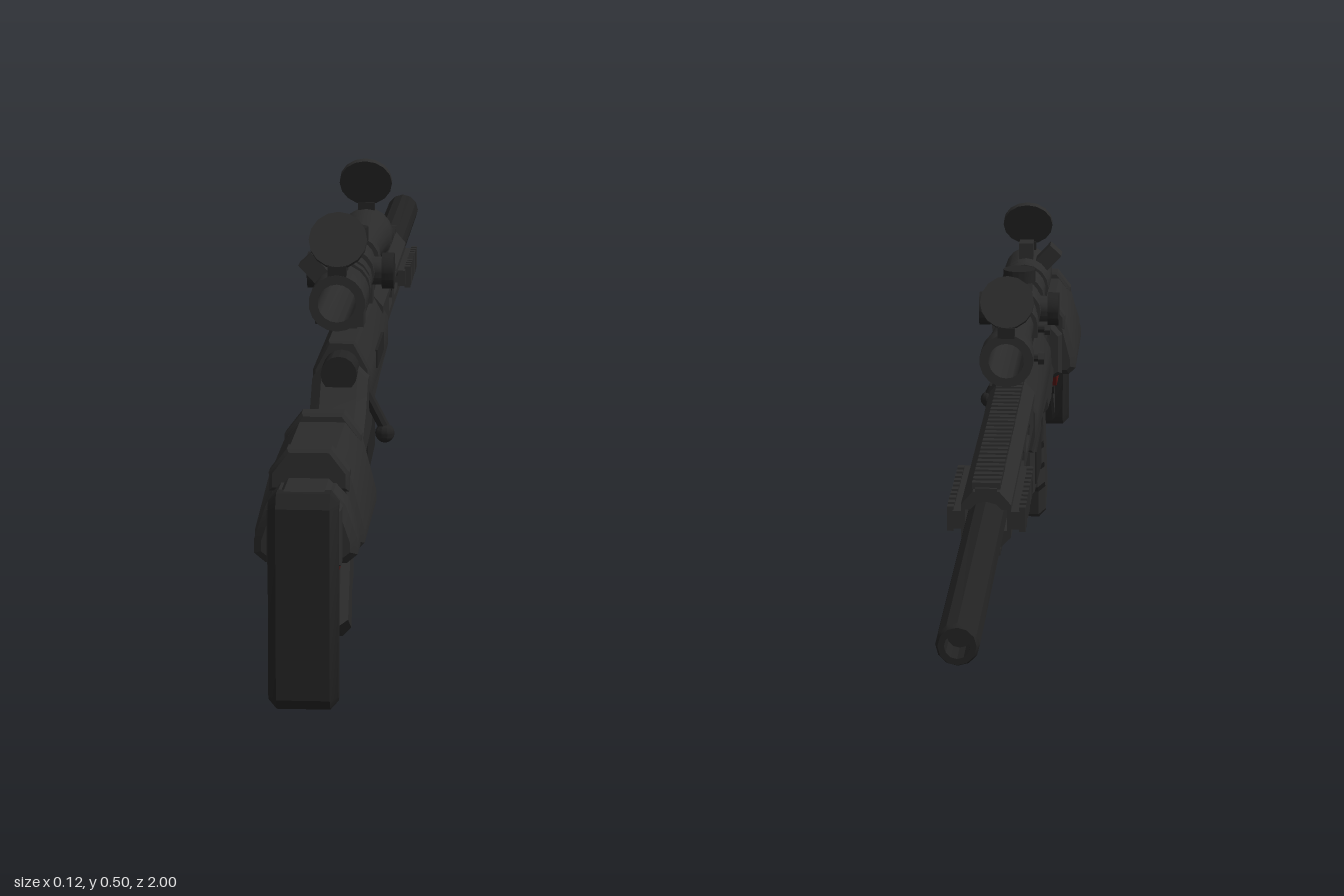
import * as THREE from 'three';
import { toCreasedNormals } from 'three/addons/utils/BufferGeometryUtils.js';

const material = (name, color) => Object.assign(new THREE.MeshStandardMaterial({ color }), { name });

export function createModel() {
  const body = material('charcoal', 0x2b2b2b);
  const dark = material('black', 0x222222);
  const red = material('dark red', 0x551512);
  const model = new THREE.Group();
  model.name = 'rifle';

  const add = (name, geometry, mat = body, crease = 0.5) => {
    const mesh = new THREE.Mesh(toCreasedNormals(geometry, crease), mat);
    mesh.name = name;
    model.add(mesh);
    return mesh;
  };
  const shapeOf = (pts) => new THREE.Shape(pts.map(([a, b]) => new THREE.Vector2(a, b)));
  const extrude = (pts, width, bevel, holes) => {
    const shape = shapeOf(pts);
    holes.forEach((h) => shape.holes.push(shapeOf(h)));
    const depth = width - 2 * bevel;
    return new THREE.ExtrudeGeometry(shape, {
      depth, bevelEnabled: bevel > 0, bevelThickness: bevel,
      bevelSize: bevel, bevelOffset: -bevel, bevelSegments: 1,
    }).translate(0, 0, -depth / 2);
  };
  // side profile of [z, y] points, extruded across x
  const profile = (name, pts, width, { bevel = 0, x = 0, mat = body, holes = [] } = {}) =>
    add(name, extrude(pts, width, bevel, holes).rotateY(-Math.PI / 2).translate(x, 0, 0), mat);
  // half section of [x, y] points, mirrored and extruded along z
  const prism = (name, half, z0, z1, bevel = 0) => {
    const mirrored = [...half].reverse().map(([x, y]) => [-x, y]);
    return add(name, extrude([...half, ...mirrored], z1 - z0, bevel, []).translate(0, 0, (z0 + z1) / 2));
  };
  // [radius, z] profile turned about a line along z at height y
  const turned = (name, pts, y, sides, mat = body) =>
    add(name, new THREE.LatheGeometry(pts.map(([r, z]) => new THREE.Vector2(r, z)), sides)
      .rotateX(Math.PI / 2).translate(0, y, 0), mat);
  const box = (name, w, h, d, x, y, z, mat = body) =>
    add(name, new THREE.BoxGeometry(w, h, d).translate(x, y, z), mat);
  const disc = (name, r, h, axis, x, y, z, mat = body, sides = 16) => {
    const g = new THREE.CylinderGeometry(r, r, h, sides);
    if (axis === 'x') g.rotateZ(Math.PI / 2);
    if (axis === 'z') g.rotateX(Math.PI / 2);
    return add(name, g.translate(x, y, z), mat);
  };

  // Barrel with a hollow muzzle
  turned('barrel', [[0, -0.96], [0.014, -0.96], [0.014, -1], [0.021, -1], [0.024, -0.992],
    [0.024, 0.05], [0, 0.05]], 0.294, 12, dark);

  // Handguard: top and bottom strips, slotted side panels
  prism('handguardTop', [[0.03, 0.308], [0.03, 0.314], [0.016, 0.33]], -0.51, 0.05);
  prism('handguardBottom', [[0.018, 0.262], [0.03, 0.274], [0.03, 0.282]], -0.51, 0.05);
  const slots = [-0.38, -0.25, -0.12].map((z) => [[z - 0.045, 0.29], [z - 0.038, 0.284],
    [z + 0.032, 0.284], [z + 0.038, 0.29], [z + 0.038, 0.3], [z + 0.032, 0.306],
    [z - 0.038, 0.306], [z - 0.045, 0.3]]);
  for (const x of [-0.0275, 0.0275])
    profile('handguardSide', [[-0.51, 0.28], [0.05, 0.28], [0.05, 0.31], [-0.51, 0.31]], 0.005, { x, holes: slots });

  // Toothed rails
  box('topRail', 0.026, 0.008, 0.82, 0, 0.33, -0.1);
  for (let z = -0.5; z < 0.31; z += 0.02) box('topRailTooth', 0.034, 0.008, 0.011, 0, 0.336, z);
  box('bottomRail', 0.026, 0.008, 0.21, 0, 0.26, -0.405);
  for (let z = -0.5; z < -0.3; z += 0.02) {
    box('bottomRailTooth', 0.034, 0.008, 0.011, 0, 0.254, z);
    for (const s of [-1, 1]) box('sideRailTooth', 0.008, 0.03, 0.011, s * 0.043, 0.295, z);
  }
  for (const s of [-1, 1]) box('sideRail', 0.012, 0.022, 0.21, s * 0.034, 0.295, -0.405);

  // Receiver and chassis
  prism('receiver', [[0.03, 0.24], [0.035, 0.26], [0.035, 0.295], [0.016, 0.33]], 0.015, 0.4, 0.003);
  profile('chassis', [[0.015, 0.245], [0.2, 0.235], [0.33, 0.225], [0.345, 0.205], [0.46, 0.195], [0.54, 0.22],
    [0.54, 0.24], [0.47, 0.265], [0.43, 0.3], [0.39, 0.3], [0.36, 0.27], [0.015, 0.27]], 0.068, { bevel: 0.012 });
  disc('boltShroud', 0.022, 0.06, 'z', 0, 0.298, 0.42, dark);
  profile('ejectionPort', [[0.15, 0.275], [0.28, 0.275], [0.28, 0.298], [0.15, 0.298]], 0.004, { x: 0.035, mat: dark });
  add('boltHandle', new THREE.TubeGeometry(new THREE.LineCurve3(
    new THREE.Vector3(0.02, 0.285, 0.395), new THREE.Vector3(0.052, 0.225, 0.4)), 1, 0.007, 8), dark);
  add('boltKnob', new THREE.SphereGeometry(0.012, 10, 8).translate(0.053, 0.217, 0.4), dark);

  // Magazine
  profile('magazine', [[0.335, 0.24], [0.15, 0.24], [0.15, 0.142], [0.325, 0.128], [0.328, 0.18], [0.345, 0.195]],
    0.05, { bevel: 0.006 });
  for (const s of [-1, 1]) profile('magazinePanel', [[0.31, 0.2], [0.17, 0.2], [0.17, 0.155], [0.31, 0.145]],
    0.004, { x: s * 0.025, mat: dark });

  // Trigger and guard
  const tube = (name, pts, r, mat) => add(name, new THREE.TubeGeometry(
    new THREE.CatmullRomCurve3(pts.map(([z, y]) => new THREE.Vector3(0, y, z))), 16, r, 6).scale(1.8, 1, 1), mat, 1);
  tube('triggerGuard', [[0.46, 0.15], [0.43, 0.143], [0.37, 0.14], [0.348, 0.16], [0.338, 0.21]], 0.005, body);
  tube('trigger', [[0.405, 0.21], [0.418, 0.185], [0.415, 0.17], [0.405, 0.16]], 0.004, dark);

  // Pistol grip with finger grooves
  profile('grip', [[0.43, 0.21], [0.437, 0.175], [0.458, 0.155], [0.463, 0.132], [0.483, 0.118], [0.483, 0.095],
    [0.505, 0.082], [0.505, 0.058], [0.528, 0.045], [0.537, 0.008], [0.553, 0.0], [0.622, 0.03], [0.612, 0.048],
    [0.565, 0.13], [0.535, 0.18], [0.54, 0.225]], 0.044, { bevel: 0.01 });

  // Stock with its tube, cheek rest and butt pad
  disc('stockTube', 0.021, 0.24, 'z', 0, 0.24, 0.58, dark, 12);
  disc('stockTubeRing', 0.027, 0.02, 'z', 0, 0.24, 0.545);
  prism('stockBody', [[0.028, 0.183], [0.04, 0.19], [0.04, 0.25], [0.022, 0.27]], 0.67, 0.985, 0.006);
  prism('cheekRest', [[0.05, 0.186], [0.06, 0.196], [0.06, 0.21], [0.045, 0.268], [0.026, 0.292]], 0.68, 0.905, 0.008);
  for (const z of [0.685, 0.885])
    prism('cheekRestEnd', [[0.044, 0.255], [0.044, 0.276], [0.024, 0.302]], z - 0.005, z + 0.025, 0.004);
  prism('stockSide', [[0.044, 0.186], [0.056, 0.196], [0.056, 0.212], [0.043, 0.25], [0.03, 0.265]], 0.9, 0.96, 0.008);
  profile('buttPad', [[0.968, 0.05], [0.975, 0.035], [0.99, 0.033], [1, 0.045], [1, 0.255], [0.988, 0.27],
    [0.968, 0.27]], 0.076, { bevel: 0.009, mat: dark });
  profile('stockWeb', [[0.975, 0.04], [0.975, 0.19], [0.74, 0.19], [0.75, 0.165], [0.82, 0.145], [0.945, 0.06]],
    0.034, { bevel: 0.004, holes: [[[0.955, 0.085], [0.955, 0.15], [0.865, 0.15]]] });

  // Red adjuster under the stock
  profile('adjusterStrip', [[0.69, 0.184], [0.7, 0.165], [0.93, 0.158], [0.945, 0.172], [0.93, 0.184]], 0.062, { mat: red });
  profile('adjusterCatch', [[0.68, 0.165], [0.72, 0.153], [0.83, 0.15], [0.85, 0.164]], 0.04, { bevel: 0.004 });
  disc('adjusterWheel', 0.014, 0.05, 'x', 0, 0.152, 0.76, dark, 10);

  // Scope, hollow from end to end
  const axis = 0.39;
  turned('scopeTube', [[0.023, -0.09], [0.035, -0.09], [0.035, -0.055], [0.032, -0.045], [0.0255, 0.06],
    [0.0255, 0.33], [0.03, 0.35], [0.03, 0.385], [0.034, 0.395], [0.034, 0.48], [0.023, 0.48], [0.023, -0.09]], axis, 18);
  const ring = (name, r, z, d) => turned(name, [[0.024, z - d], [r, z - d], [r, z + d], [0.024, z + d]], axis, 16);
  ring('turretSaddle', 0.031, 0.225, 0.028);
  ring('zoomRing', 0.034, 0.365, 0.01);
  for (const s of [-1, 1]) {
    disc('sideTurret', 0.018, 0.014, 'x', s * 0.034, axis, 0.225);
    disc('sideTurretCap', 0.023, 0.015, 'x', s * 0.047, axis, 0.225, dark);
  }
  disc('topTurret', 0.018, 0.015, 'y', 0, 0.422, 0.225);
  disc('topTurretCap', 0.022, 0.017, 'y', 0, 0.437, 0.225, dark);

  // Scope mounts
  for (const z of [0.305, 0.128]) {
    ring('mountRing', 0.031, z, 0.017);
    box('mountFoot', 0.044, 0.032, 0.034, 0, 0.35, z);
    disc('mountScrew', 0.005, 0.02, 'x', -0.026, 0.343, z, dark, 8);
    disc('mountNut', 0.009, 0.008, 'x', -0.035, 0.343, z, body, 6);
  }

  // Zoom lever, leaning out to the right
  const lever = box('zoomLever', 0.022, 0.036, 0.03, 0, 0, 0);
  lever.position.set(-0.03, 0.422, 0.415);
  lever.rotation.z = 0.75;
  box('zoomStop', 0.02, 0.03, 0.03, 0, 0.43, 0.415);

  // Flip-up lens caps with hinges
  for (const [z, tilt] of [[0.458, -0.47], [-0.07, 0.47]]) {
    const cap = disc('lensCap', 0.035, 0.007, 'z', 0, 0, 0);
    cap.position.set(0, 0.463, z);
    cap.rotation.x = tilt;
    box('capHinge', 0.022, 0.014, 0.014, 0, 0.427, z - Math.sign(tilt) * 0.014, dark);
  }

  return model;
}
